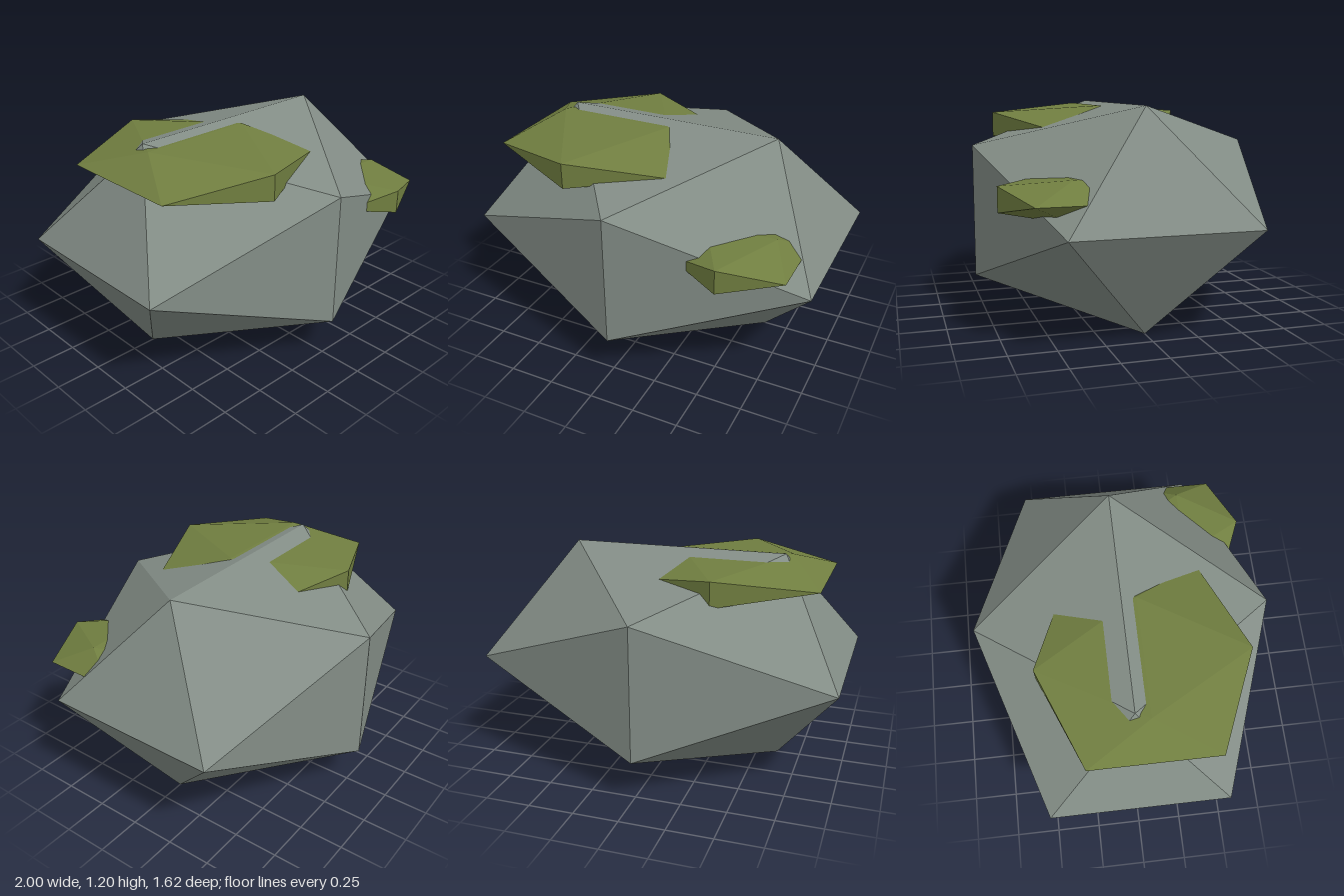
import * as THREE from 'three';

// Faceted 20-sided lump; rx, ry, rz are its half extents
function lump(name, material, [rx, ry, rz], [x, y, z]) {
  const geometry = new THREE.IcosahedronGeometry(1, 0);
  geometry.computeBoundingBox();
  const reach = geometry.boundingBox.max;
  geometry.scale(rx / reach.x, ry / reach.y, rz / reach.z);
  geometry.computeVertexNormals();
  const mesh = new THREE.Mesh(geometry, material);
  mesh.name = name;
  mesh.position.set(x, y, z);
  return mesh;
}

export function createModel() {
  const stone = new THREE.MeshStandardMaterial({ color: 0x838d86 });
  stone.name = 'grey stone';
  const moss = new THREE.MeshStandardMaterial({ color: 0x707e40 });
  moss.name = 'green moss';
  stone.flatShading = moss.flatShading = true;

  const model = new THREE.Group();
  model.name = 'mossyBoulder';
  model.add(
    // Boulder standing on its lower edge
    lump('boulder', stone, [1, 0.6, 0.81], [0, 0.6, 0]),
    // Flattened moss cushions sunk into the stone
    lump('topMoss', moss, [0.53, 0.115, 0.57], [-0.32, 1.069, 0.08]),
    lump('sideMoss', moss, [0.316, 0.108, 0.34], [0.585, 0.746, 0.42]),
  );
  return model;
}
